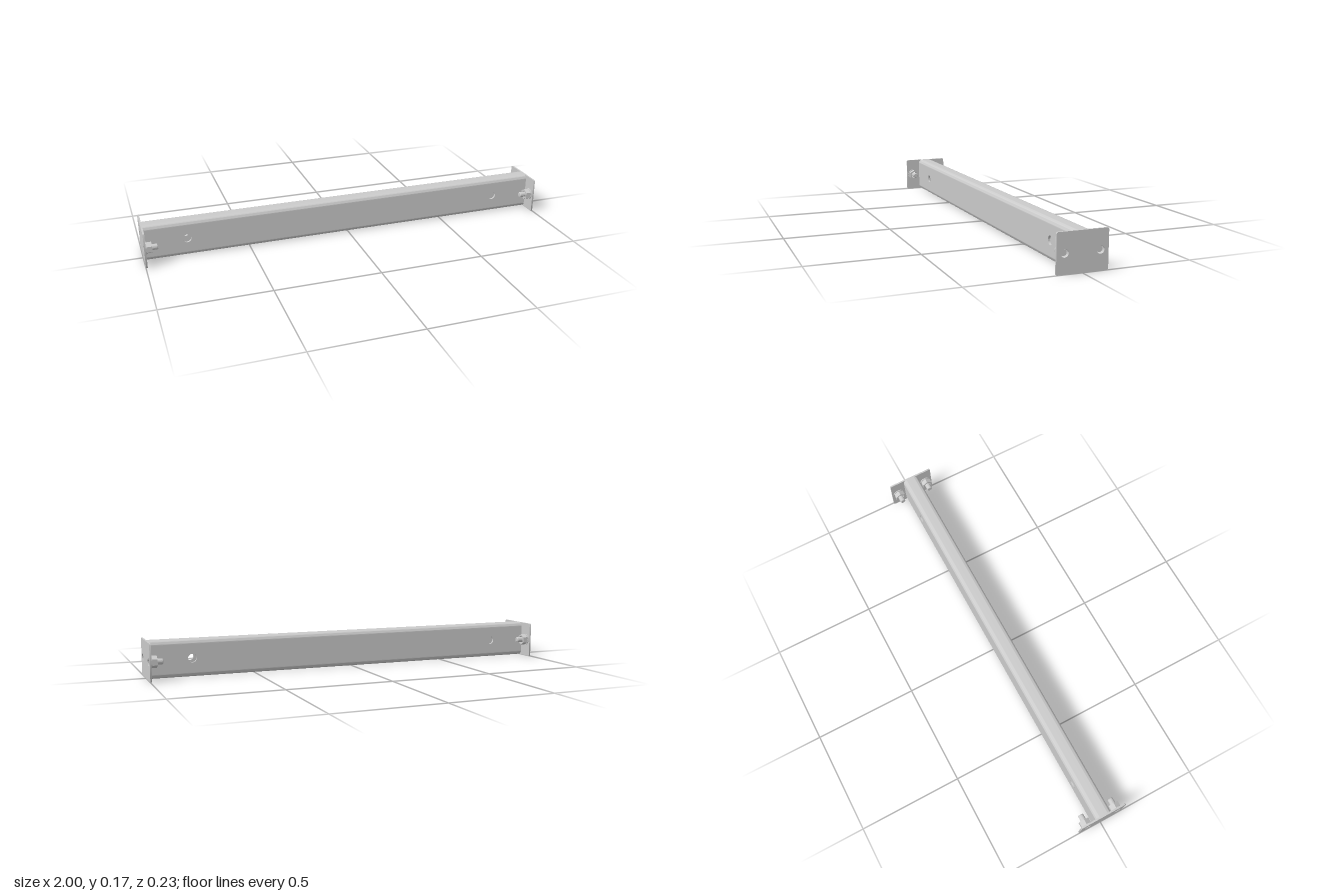
import * as THREE from 'three';
import { toCreasedNormals } from 'three/addons/utils/BufferGeometryUtils.js';

const H = 0.173, W = 0.08, MID = H / 2;   // beam height, beam depth, bolt height
const WALL = 0.01, R = 0.02;              // beam wall thickness, corner radius
const PLATE = 0.008, HOLE = 0.0175;       // end plate thickness, bolt hole radius
const INNER = 1 - PLATE;                  // inner face of the end plate

const material = new THREE.MeshStandardMaterial({ color: 0xcccccc });

function addMesh(parent, name, geometry) {
  const mesh = new THREE.Mesh(geometry, material);
  mesh.name = name;
  parent.add(mesh);
  return mesh;
}

function extrude(shape, depth) {
  const g = new THREE.ExtrudeGeometry(shape, { depth, bevelEnabled: false, curveSegments: 12 });
  return toCreasedNormals(g, 0.6);
}

// Extrudes a shape drawn in z-y along x, from x0 to x1
function extrudeX(shape, x0, x1) {
  return extrude(shape, x1 - x0).rotateY(Math.PI / 2).translate(x0, 0, 0);
}

function circleHole(shape, x, y, r) {
  shape.holes.push(new THREE.Path().absarc(x, y, r, 0, Math.PI * 2, true));
}

function disc(r, holeRadius) {
  const s = new THREE.Shape().absarc(0, 0, r, 0, Math.PI * 2, false);
  circleHole(s, 0, 0, holeRadius);
  return s;
}

function roundedRect(w, y0, y1, r) {
  const s = new THREE.Shape(), x = w / 2;
  s.absarc(x - r, y0 + r, r, -Math.PI / 2, 0, false);
  s.absarc(x - r, y1 - r, r, 0, Math.PI / 2, false);
  s.absarc(-x + r, y1 - r, r, Math.PI / 2, Math.PI, false);
  s.absarc(-x + r, y0 + r, r, Math.PI, Math.PI * 1.5, false);
  s.closePath();
  return s;
}

// Top of the beam: flat strip with both rounded corners
function beamCapShape() {
  const s = new THREE.Shape(), c = W / 2 - R, y = MID - R;
  s.absarc(c, y, R, 0, Math.PI / 2, false);
  s.absarc(-c, y, R, Math.PI / 2, Math.PI, false);
  s.absarc(-c, y, R - WALL, Math.PI, Math.PI / 2, true);
  s.absarc(c, y, R - WALL, Math.PI / 2, 0, true);
  s.closePath();
  return s;
}

function createBeam() {
  const beam = new THREE.Group();
  beam.name = 'hollowBeam';
  const cap = extrudeX(beamCapShape(), -INNER, INNER);
  addMesh(beam, 'beamTop', cap).position.y = MID;
  const bottom = addMesh(beam, 'beamBottom', cap);
  bottom.position.y = MID;
  bottom.rotation.x = Math.PI;

  // Side walls, each with two round through-holes
  const wall = new THREE.Shape([
    new THREE.Vector2(-INNER, R), new THREE.Vector2(INNER, R),
    new THREE.Vector2(INNER, H - R), new THREE.Vector2(-INNER, H - R),
  ]);
  for (const x of [-0.795, 0.795]) circleHole(wall, x, MID, 0.02);
  const wallGeometry = extrude(wall, WALL);
  addMesh(beam, 'frontWall', wallGeometry).position.z = W / 2 - WALL;
  addMesh(beam, 'backWall', wallGeometry).position.z = -W / 2;
  return beam;
}

// Washer, hex nut and stud on the inner face of a plate
function createFastener() {
  const fastener = new THREE.Group();
  fastener.name = 'fastener';
  addMesh(fastener, 'washer', extrudeX(disc(0.029, HOLE), INNER - 0.005, INNER));
  const hex = new THREE.Shape();
  for (let i = 0; i < 6; i++) {
    const a = Math.PI / 2 + i * Math.PI / 3, r = 0.028;
    if (i) hex.lineTo(r * Math.cos(a), r * Math.sin(a));
    else hex.moveTo(r * Math.cos(a), r * Math.sin(a));
  }
  hex.closePath();
  circleHole(hex, 0, 0, HOLE);
  addMesh(fastener, 'nut', extrudeX(hex, INNER - 0.029, INNER - 0.005));
  // Stud with chamfered tip
  const stud = new THREE.LatheGeometry([
    [0, 0.935], [0.011, 0.935], [0.0135, 0.938], [0.0135, INNER - 0.002], [0, INNER - 0.002],
  ].map(([r, x]) => new THREE.Vector2(r, x)), 24);
  addMesh(fastener, 'stud', toCreasedNormals(stud.rotateZ(-Math.PI / 2), 0.5));
  return fastener;
}

function createEnd(name) {
  const end = new THREE.Group();
  end.name = name;
  const plate = roundedRect(0.23, 0, H, 0.007);
  for (const z of [-0.079, 0.079]) {
    circleHole(plate, z, MID, HOLE);
    const fastener = createFastener();
    fastener.position.set(0, MID, z);
    end.add(fastener);
  }
  addMesh(end, 'endPlate', extrudeX(plate, INNER, 1));
  return end;
}

export function createModel() {
  const model = new THREE.Group();
  model.name = 'beamWithEndPlates';
  model.add(createBeam());
  model.add(createEnd('leftEnd'));
  const right = createEnd('rightEnd');
  right.rotation.y = Math.PI;
  model.add(right);
  return model;
}
